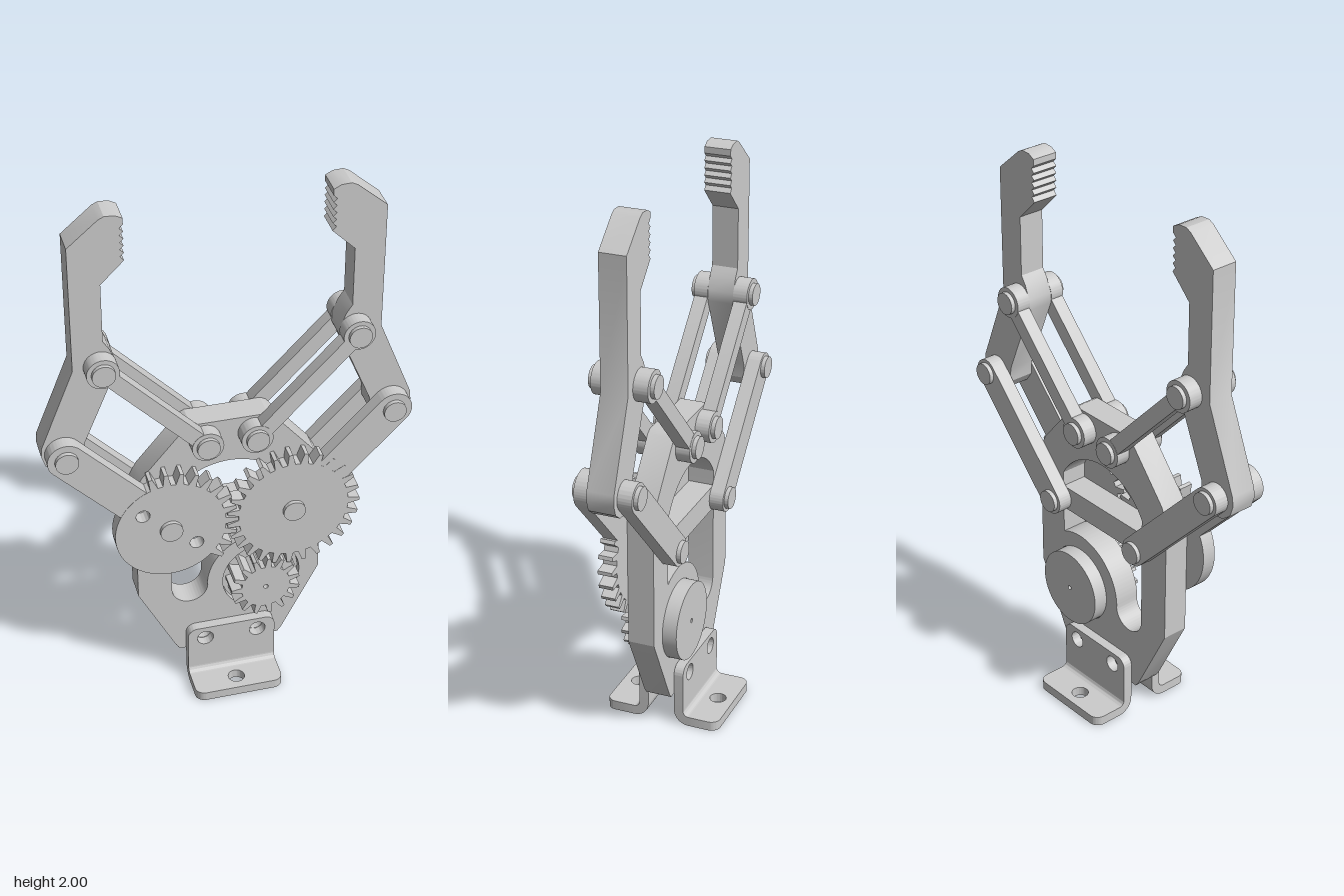
import * as THREE from 'three';
import { toCreasedNormals } from 'three/addons/utils/BufferGeometryUtils.js';

const material = new THREE.MeshStandardMaterial({ color: 0xcccccc });
const PLATE = 0.048;  // half thickness of the centre layer
const LINK = 0.1;     // outer face of the link layers
const PIN = 0.115;    // outer face of the pin heads

const polygon = pts => new THREE.Shape(pts.map(p => new THREE.Vector2(p[0], p[1])));

function hole(shape, x, y, r) {
  shape.holes.push(new THREE.Path().absarc(x, y, r, 0, Math.PI * 2, true));
  return shape;
}

const disc = (x, y, r) => new THREE.Shape().absarc(x, y, r, 0, Math.PI * 2, false);

// Extrude a front-plane shape from z0 to z1
function slab(parent, name, shape, z0, z1) {
  const geo = new THREE.ExtrudeGeometry(shape, { depth: z1 - z0, bevelEnabled: false, curveSegments: 32 });
  geo.translate(0, 0, z0);
  const mesh = new THREE.Mesh(toCreasedNormals(geo, 0.45), material);
  mesh.name = name;
  parent.add(mesh);
  return mesh;
}

// Bar with rounded ends between two points
function bar(a, b, r) {
  const t = Math.atan2(b[1] - a[1], b[0] - a[0]), q = Math.PI / 2;
  return new THREE.Shape()
    .absarc(b[0], b[1], r, t - q, t + q, false)
    .absarc(a[0], a[1], r, t + q, t + 3 * q, false);
}

// Rectangle with individual radii for the top and bottom corners
function roundRect(x0, y0, x1, y1, rTop, rBottom) {
  const q = Math.PI / 2, s = new THREE.Shape();
  const corner = (x, y, r, a) => r ? s.absarc(x, y, r, a, a + q, false) : s.lineTo(x, y);
  s.moveTo(x0 + rBottom, y0);
  corner(x1 - rBottom, y0 + rBottom, rBottom, -q);
  corner(x1 - rTop, y1 - rTop, rTop, 0);
  corner(x0 + rTop, y1 - rTop, rTop, q);
  corner(x0 + rBottom, y0 + rBottom, rBottom, 2 * q);
  return s;
}

// Gear outline; teeth outside the angle range are left as a plain rim
function gear(cx, cy, root, tip, count, phase, from = -10, to = 10) {
  const pts = [], pitch = Math.PI * 2 / count;
  const profile = [[-0.5, 0], [-0.3, 0], [-0.22, 0.4], [-0.12, 1], [0.12, 1], [0.22, 0.4], [0.3, 0]];
  for (let i = 0; i < count; i++) {
    let a = phase + i * pitch;
    if (a > Math.PI) a -= Math.PI * 2;
    const toothed = a > from && a < to;
    for (const [u, h] of profile) {
      const r = root + (toothed ? h * (tip - root) : 0);
      pts.push([cx + r * Math.cos(a + u * pitch), cy + r * Math.sin(a + u * pitch)]);
    }
  }
  return polygon(pts);
}

function makeBody(parent) {
  const outline = polygon([
    [-0.185, 0.12], [0.185, 0.12], [0.2, 0.14], [0.335, 0.41], [0.335, 0.89], [0.31, 0.94],
    [0.155, 1.125], [0.135, 1.135], [-0.135, 1.135], [-0.155, 1.125], [-0.31, 0.94],
    [-0.335, 0.89], [-0.335, 0.41], [-0.2, 0.14]]);
  // Opening with a slot running down beside the motor seat
  outline.holes.push(new THREE.Path()
    .absarc(-0.145, 0.41, 0.066, Math.PI, Math.PI * 2, false)
    .absarc(0.12, 0.41, 0.2, Math.PI, 1.104, true)
    .absarc(0, 0.72, 0.24, 0.505, Math.PI - 0.505, false));
  hole(outline, 0.12, 0.41, 0.143);
  for (const s of [-1, 1]) hole(outline, s * 0.098, 0.185, 0.03);
  slab(parent, 'bodyPlate', outline, -PLATE, PLATE);
  slab(parent, 'crossBar', roundRect(-0.23, 0.69, 0.23, 0.78, 0, 0), -PLATE, PLATE - 0.001);
}

function makeBracket(parent, side) {
  const g = new THREE.Group();
  g.name = side > 0 ? 'frontBracket' : 'backBracket';
  const w = 0.163, z0 = 0.05, t = 0.035, r = 0.055;
  const plate = roundRect(-w, r, w, 0.233, 0.035, 0);
  for (const s of [-1, 1]) hole(plate, s * 0.098, 0.185, 0.03);
  slab(g, 'bracketPlate', plate, z0, z0 + t);
  // Foot is drawn flat, then laid down to face up
  const foot = hole(roundRect(-w, -0.215, w, -z0 - r, 0, 0.035), 0, -0.155, 0.03);
  slab(g, 'bracketFoot', foot, 0, t).rotation.x = -Math.PI / 2;
  // Quarter bend joining plate and foot
  const bend = new THREE.Shape()
    .absarc(-z0 - r, r, r, -Math.PI / 2, 0, false)
    .absarc(-z0 - r, r, r - t, 0, -Math.PI / 2, true);
  slab(g, 'bracketBend', bend, -w, w).rotation.y = Math.PI / 2;
  if (side < 0) g.rotation.y = Math.PI;
  parent.add(g);
}

function makeFinger(parent, s) {
  const pts = [
    [0.53, 1.9], [0.53, 1.43], [0.648, 1.135], [0.651, 1.1], [0.638, 1.06], [0.605, 1.035],
    [0.57, 1.03], [0.53, 1.045], [0.505, 1.08], [0.5, 1.135], [0.385, 1.41], [0.385, 1.45],
    [0.405, 1.5], [0.425, 1.53], [0.425, 1.75], [0.345, 1.83]];
  // Grip serrations
  for (let i = 0; i < 5; i++) {
    const y = 1.845 + i * 0.026;
    pts.push([0.358, y], [0.345, y + 0.013]);
  }
  pts.push([0.345, 1.985], [0.37, 1.998], [0.405, 2], [0.425, 1.99]);
  slab(parent, s > 0 ? 'leftFinger' : 'rightFinger', polygon(pts.map(p => [s * p[0], p[1]])), -PLATE, PLATE);
}

function makeLinkage(parent, s) {
  const g = new THREE.Group();
  g.name = s > 0 ? 'leftLinkage' : 'rightLinkage';
  const hub = [s * 0.222, 0.735], elbow = [s * 0.575, 1.104];
  const top = [s * 0.087, 1.07], knuckle = [s * 0.438, 1.437];
  // Front arm starts at the rim of its gear
  const len = Math.hypot(elbow[0] - hub[0], elbow[1] - hub[1]);
  const d = [(elbow[0] - hub[0]) / len, (elbow[1] - hub[1]) / len];
  const h = 0.065, n = [-d[1] * h, d[0] * h];
  const start = [hub[0] + d[0] * 0.17, hub[1] + d[1] * 0.17];
  const a = Math.atan2(d[1], d[0]);
  const arm = new THREE.Shape();
  arm.moveTo(start[0] + n[0], start[1] + n[1]);
  arm.lineTo(start[0] - n[0], start[1] - n[1]);
  arm.absarc(elbow[0], elbow[1], h, a - Math.PI / 2, a + Math.PI / 2, false);
  slab(g, 'gearArm', arm, PLATE, LINK - 0.001);
  slab(g, 'rearArm', bar(hub, elbow, 0.052), -LINK, -PLATE);
  // Thin links with round bosses, front and back
  for (const z of [PLATE, -LINK]) {
    slab(g, 'thinLink', bar(top, knuckle, 0.028), z + 0.001, z + LINK - PLATE - 0.001);
    for (const p of [top, knuckle]) slab(g, 'linkBoss', disc(p[0], p[1], 0.056), z, z + LINK - PLATE);
  }
  for (const p of [hub, elbow, top, knuckle]) slab(g, 'pivotPin', disc(p[0], p[1], 0.04), -PIN, PIN);
  parent.add(g);
}

export function createModel() {
  const model = new THREE.Group();
  model.name = 'roboticGripper';
  makeBody(model);
  for (const s of [1, -1]) {
    makeBracket(model, s);
    makeFinger(model, s);
    makeLinkage(model, s);
  }

  // Full gear, part-toothed gear with two holes, and driving pinion
  slab(model, 'leftGear', gear(0.222, 0.735, 0.2, 0.242, 27, -Math.PI + Math.PI / 27), PLATE, LINK);
  const partGear = gear(-0.222, 0.735, 0.198, 0.242, 27, 0, -0.85, 1.95);
  hole(partGear, -0.32, 0.815, 0.025);
  hole(partGear, -0.13, 0.66, 0.025);
  slab(model, 'rightGear', partGear, PLATE, LINK);
  slab(model, 'pinion', hole(gear(0.12, 0.41, 0.09, 0.127, 15, 1.482), 0.12, 0.41, 0.009), 0.02, PIN);

  // Motor seated in the body plate
  slab(model, 'motor', hole(disc(0.12, 0.41, 0.142), 0.12, 0.41, 0.008), -LINK, 0.025);
  return model;
}
